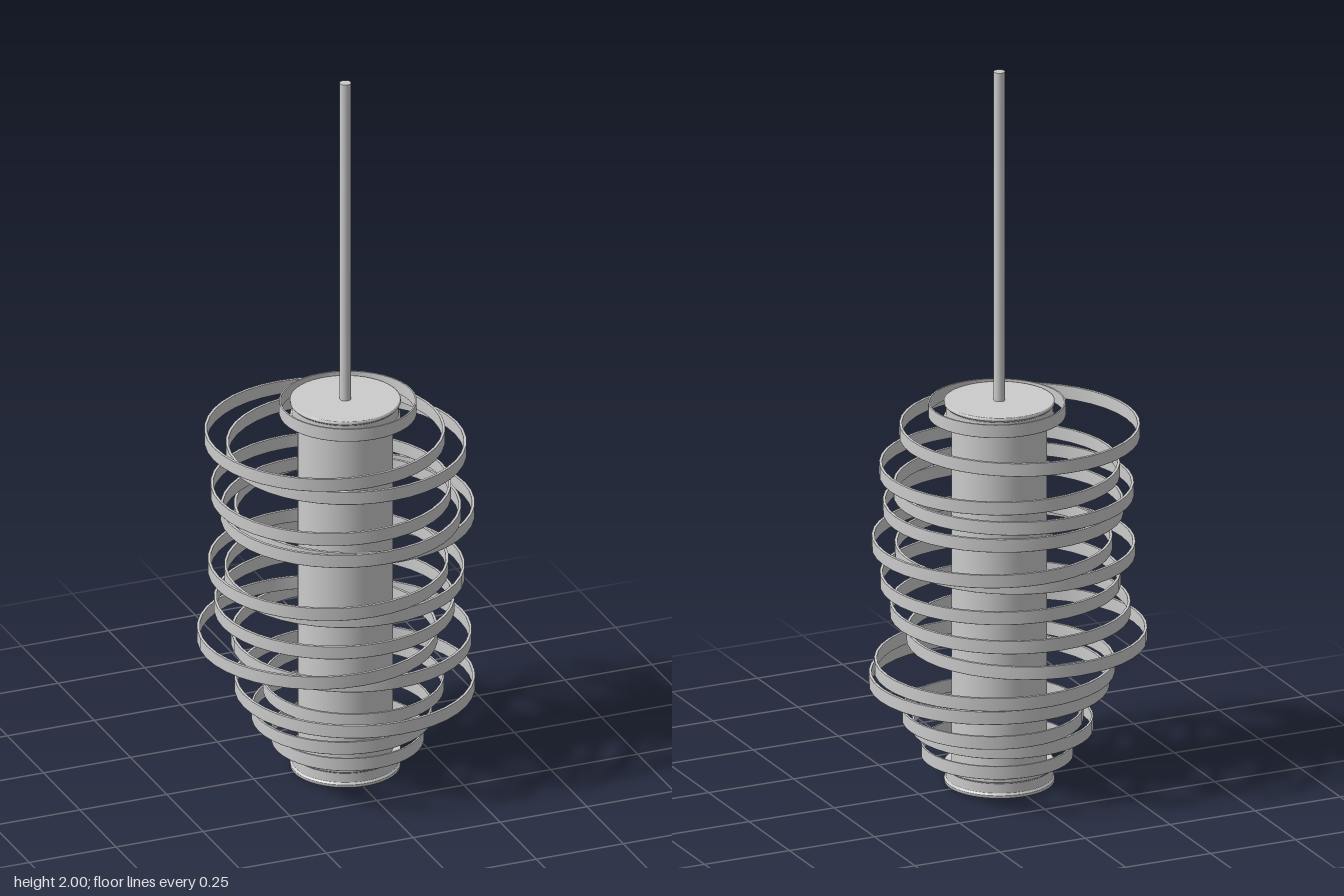
import * as THREE from 'three';

const material = new THREE.MeshStandardMaterial({ color: 0xcccccc });
const CX = 0.01, CZ = 0.009; // lamp axis

// Each ring: y centre, x centre, z centre, outer radius
const RINGS = [
  [1.05, 0.017, 0.01, 0.183],
  [0.98, -0.05, 0.01, 0.32],
  [0.902, 0.035, -0.045, 0.32],
  [0.817, -0.032, 0.01, 0.32],
  [0.762, -0.015, 0.038, 0.32],
  [0.708, 0.067, -0.066, 0.32],
  [0.627, -0.063, 0.066, 0.32],
  [0.57, 0.007, 0.01, 0.32],
  [0.483, -0.022, 0.01, 0.32],
  [0.403, -0.071, 0.01, 0.32],
  [0.35, 0.049, -0.043, 0.32],
  [0.27, 0.012, 0.068, 0.32],
  [0.213, 0.053, -0.039, 0.241],
  [0.162, 0, 0.01, 0.241],
  [0.093, 0.016, 0.01, 0.203],
];

function addMesh(group, name, geometry, x, y, z) {
  const mesh = new THREE.Mesh(geometry, material);
  mesh.name = name;
  mesh.position.set(x, y, z);
  group.add(mesh);
  return mesh;
}

// Lathe from a profile whose corners stay sharp: each point pair is its own band
function sharpLathe(profile, segments) {
  const points = [];
  profile.forEach(([r, y], i) => {
    const p = new THREE.Vector2(r, y);
    points.push(p);
    if (i > 0 && i < profile.length - 1) {
      // a tiny bevel on both sides of the corner limits the normal blending
      const [pr, py] = profile[i - 1], [nr, ny] = profile[i + 1];
      const before = p.clone().lerp(new THREE.Vector2(pr, py), 0.03);
      const after = p.clone().lerp(new THREE.Vector2(nr, ny), 0.03);
      points.splice(points.length - 1, 1, before, after);
    }
  });
  return new THREE.LatheGeometry(points, segments);
}

// Flat band with a rectangular section
function ringGeometry(radius, height) {
  const inner = radius * 0.977, h = height / 2;
  return sharpLathe([[inner, 0], [inner, -h], [radius, -h], [radius, h], [inner, h], [inner, 0]], 40);
}

export function createModel() {
  const lamp = new THREE.Group();
  lamp.name = 'pendantLamp';

  // Suspension rod
  addMesh(lamp, 'rod', new THREE.CylinderGeometry(0.0155, 0.0155, 0.94, 24), CX, 1.53, CZ);

  // Inner diffuser tube
  addMesh(lamp, 'diffuserTube', new THREE.CylinderGeometry(0.127, 0.127, 1.01, 48), CX, 0.535, CZ);

  // End caps with a shallow groove between two lips
  const capProfile = [
    [0, 0], [0.147, 0], [0.147, 0.008], [0.142, 0.013], [0.142, 0.04],
    [0.147, 0.045], [0.147, 0.053], [0.12, 0.053],
  ];
  const cap = sharpLathe(capProfile, 48);
  addMesh(lamp, 'bottomCap', cap, CX, 0, CZ);
  const topCap = addMesh(lamp, 'topCap', cap, CX, 1.073, CZ);
  topCap.rotation.x = Math.PI;

  // Offset decorative rings
  const rings = new THREE.Group();
  rings.name = 'rings';
  RINGS.forEach(([y, x, z, r], i) => addMesh(rings, `ring${i + 1}`, ringGeometry(r, 0.037), x, y, z));
  lamp.add(rings);

  return lamp;
}
